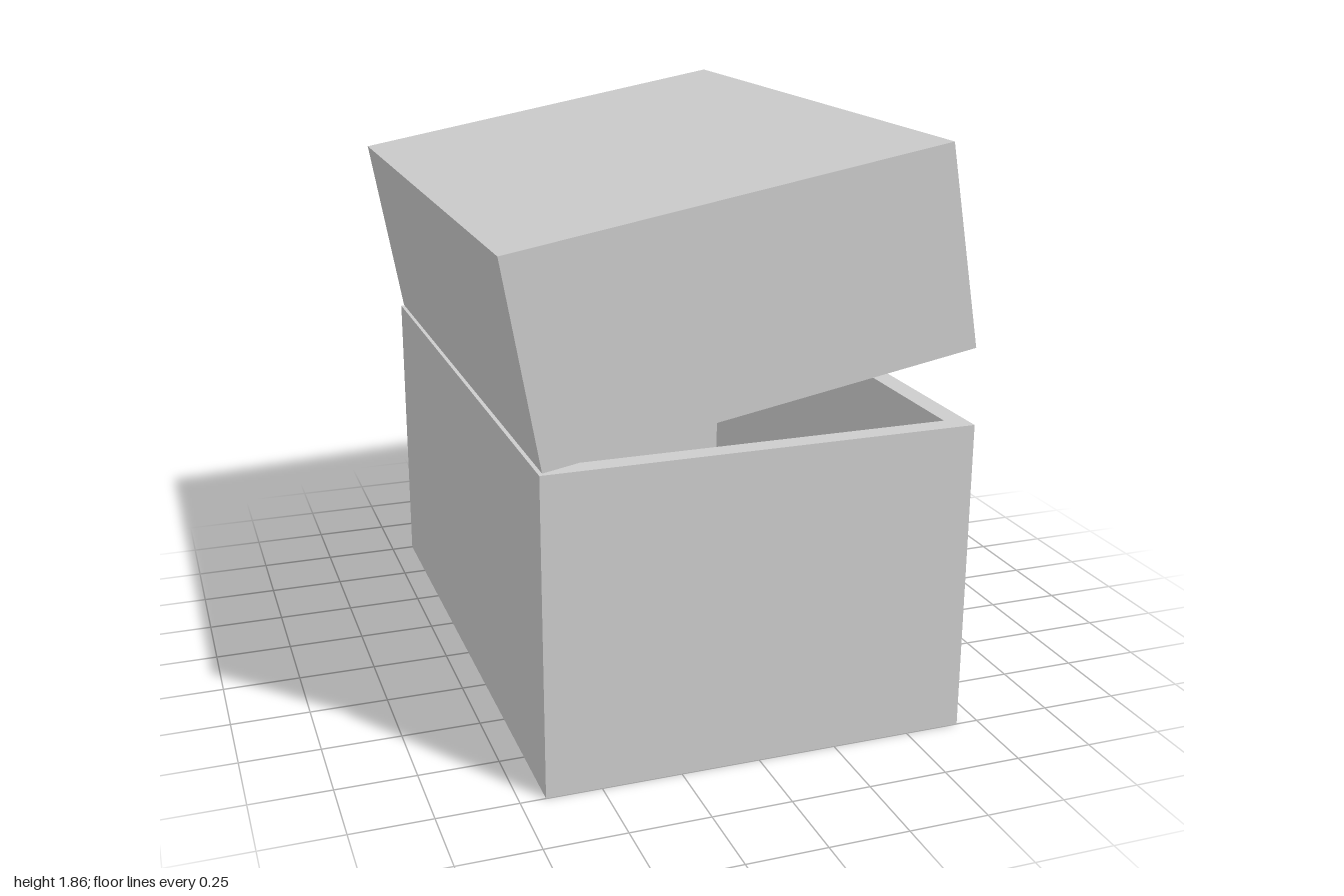
import * as THREE from 'three';

// Tray: outer box with a rectangular cavity open at +y; bottom on y = 0.
function openBox(name, width, height, length, wall, floor, material) {
  const group = new THREE.Group();
  group.name = name;

  const outline = (w, l) => [
    new THREE.Vector2(-w / 2, -l / 2), new THREE.Vector2(w / 2, -l / 2),
    new THREE.Vector2(w / 2, l / 2), new THREE.Vector2(-w / 2, l / 2),
  ];
  const shape = new THREE.Shape(outline(width, length));
  shape.holes.push(new THREE.Path(outline(width - 2 * wall, length - 2 * wall).reverse()));

  // Four walls as one ring
  const ring = new THREE.ExtrudeGeometry(shape, { depth: height, bevelEnabled: false });
  ring.rotateX(-Math.PI / 2);
  const walls = new THREE.Mesh(ring, material);
  walls.name = name + 'Walls';

  // Closing panel fitted inside the ring
  const panel = new THREE.Mesh(
    new THREE.BoxGeometry(width - 2 * wall, floor, length - 2 * wall), material);
  panel.name = name + 'Panel';
  panel.position.y = floor / 2;

  group.add(walls, panel);
  return group;
}

export function createModel() {
  const model = new THREE.Group();
  model.name = 'hingedBox';
  const grey = new THREE.MeshStandardMaterial({ color: 0xcccccc });
  grey.name = 'plain grey';

  // Lower box
  const base = openBox('base', 1.35, 1.0, 2.0, 0.067, 0.03, grey);
  base.position.x = 0.003;
  model.add(base);

  // Lid: the same tray turned over, tilted open about the hinge edge
  const lidWidth = 1.353, lidHeight = 0.625;
  const hinge = new THREE.Group();
  hinge.name = 'lidHinge';
  hinge.position.set(-0.663, 1.005, 0.003);
  hinge.rotation.z = THREE.MathUtils.degToRad(10);
  const lid = openBox('lid', lidWidth, lidHeight, 1.988, 0.033, 0.033, grey);
  lid.rotation.z = Math.PI;
  lid.position.set(lidWidth / 2, lidHeight, 0);
  hinge.add(lid);
  model.add(hinge);

  // Latch tab on the opening edge
  const latch = new THREE.Mesh(new THREE.BoxGeometry(0.088, 0.359, 0.208), grey);
  latch.name = 'latch';
  latch.position.set(0.6825, 1.2925, 0);
  latch.rotation.z = THREE.MathUtils.degToRad(13.6);
  model.add(latch);

  return model;
}
